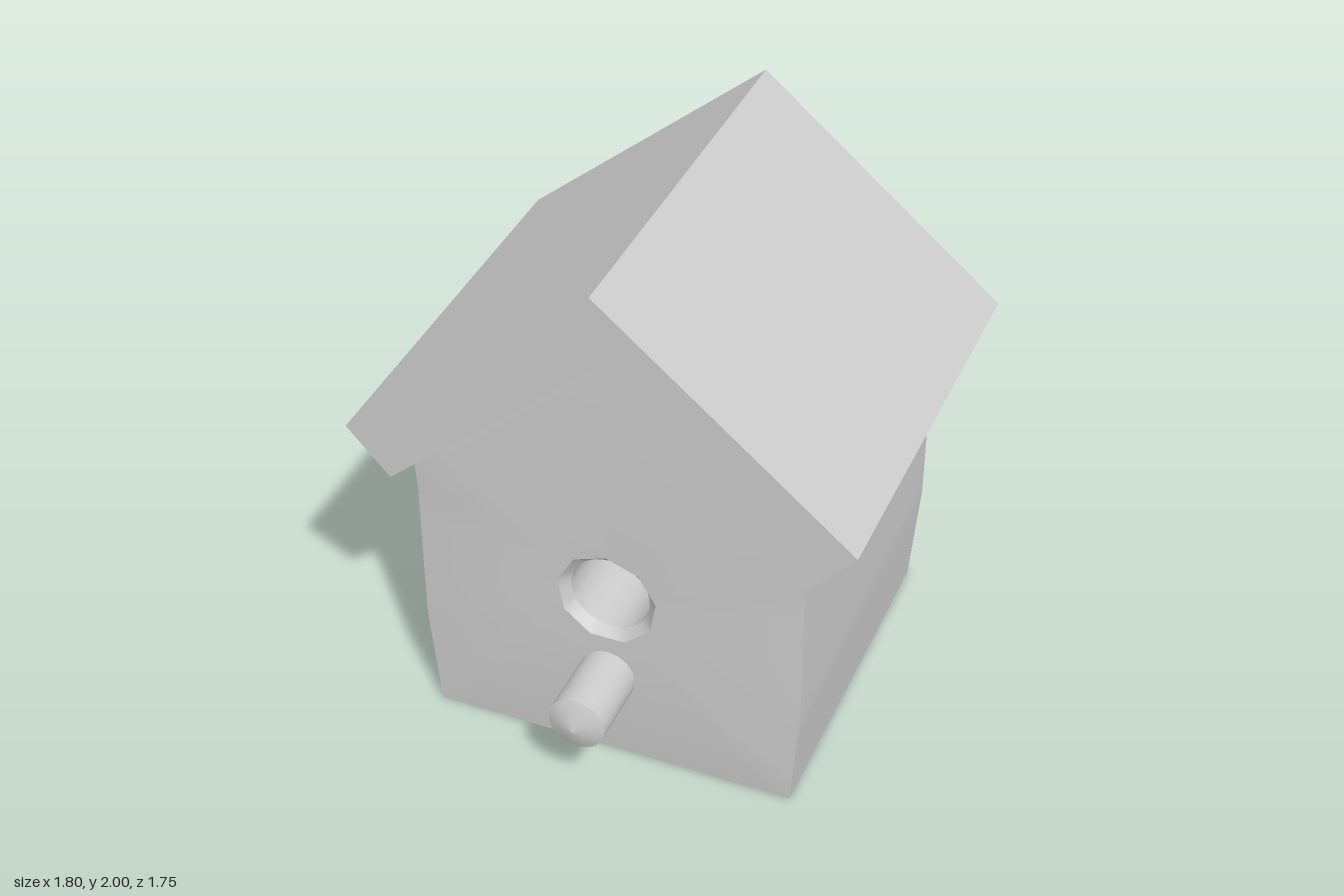
import * as THREE from 'three';
import { toCreasedNormals } from 'three/addons/utils/BufferGeometryUtils.js';

const HOLE_Y = 0.715;
const RAD = Math.PI / 180;

// House outline, counter-clockwise seen from the front
const outline = [
  [-0.67, 0.005], [0.67, 0.005], [0.7, 0.4], [0.7, 1.12],
  [0, 1.73], [-0.7, 1.12], [-0.7, 0.4],
];

// Distance from the hole centre to the outline along a direction
function outlineRadius(a) {
  let best = Infinity;
  outline.forEach(([x, y], i) => {
    const [x2, y2] = outline[(i + 1) % outline.length];
    const nx = y2 - y, ny = x - x2;
    const facing = nx * Math.cos(a) + ny * Math.sin(a);
    if (facing > 1e-6) best = Math.min(best, (nx * x + ny * (y - HOLE_Y)) / facing);
  });
  return best;
}

// Nine-sided chipped rim with a corner at the top
function rimRadius(a) {
  const step = 40 * RAD;
  const t = (((a - Math.PI / 2) % step) + step) % step;
  return 0.183 * Math.cos(step / 2) / Math.cos(t - step / 2);
}

// Body: loops running from the hole floor, over the front and sides, to the back
function bodyGeometry() {
  const angles = outline.map(([x, y]) => Math.atan2(y - HOLE_Y, x));
  for (let d = -180; d < 180; d += 10) {
    if (angles.every((a) => Math.abs(a - d * RAD) > 0.005)) angles.push(d * RAD);
  }
  angles.sort((a, b) => a - b);

  const low = (y) => Math.max(0, 1 - y / 0.5);
  const loops = [
    [() => 0.0001, () => 0.2],
    [() => 0.145, () => 0.25],
    [() => 0.145, () => 0.53],
    [rimRadius, () => 0.565],
    [(a) => outlineRadius(a) * 0.6, (y) => 0.57 - 0.008 * low(y)],
    [outlineRadius, (y) => 0.55 - 0.01 * low(y) + (y > 1 ? 0.015 : 0)],
    [outlineRadius, (y) => -0.78 + 0.015 * low(y) - (y > 1 ? 0.01 : 0)],
    [(a) => outlineRadius(a) * 0.6, (y) => -0.797 + 0.01 * low(y)],
    [() => 0.0001, () => -0.8],
  ];
  const n = angles.length, pos = [], index = [];
  loops.forEach(([radius, depth], k) => {
    angles.forEach((a, i) => {
      const r = radius(a), y = HOLE_Y + r * Math.sin(a);
      pos.push(r * Math.cos(a), y, depth(y));
      if (k === 0) return;
      const j = (i + 1) % n, p = (k - 1) * n, q = k * n;
      index.push(p + i, q + i, q + j, p + i, q + j, p + j);
    });
  });
  const g = new THREE.BufferGeometry();
  g.setAttribute('position', new THREE.Float32BufferAttribute(pos, 3));
  g.setIndex(index);
  return toCreasedNormals(g, 30 * RAD);
}

// Roof: one bent slab
function roofGeometry() {
  const shape = new THREE.Shape([
    [0, 2], [-0.9, 1.25], [-0.745, 1.08], [0, 1.725], [0.745, 1.08], [0.9, 1.25],
  ].map(([x, y]) => new THREE.Vector2(x, y)));
  return new THREE.ExtrudeGeometry(shape, { depth: 1.52, bevelEnabled: false })
    .translate(0, 0, -0.87);
}

// Perch: round peg with a blunt pointed tip
function perchGeometry() {
  const profile = [[0, 0.4], [0.103, 0.4], [0.103, 0.83], [0, 0.875]]
    .map(([r, z]) => new THREE.Vector2(r, z));
  const g = new THREE.LatheGeometry(profile, 32).rotateX(Math.PI / 2);
  return toCreasedNormals(g, 40 * RAD).translate(0, 0.375, 0);
}

export function createModel() {
  const grey = new THREE.MeshStandardMaterial({ color: 0xcccccc });
  grey.name = 'plain grey';
  const model = new THREE.Group();
  model.name = 'birdhouse';
  const parts = { body: bodyGeometry(), roof: roofGeometry(), perch: perchGeometry() };
  for (const [name, geometry] of Object.entries(parts)) {
    const mesh = new THREE.Mesh(geometry, grey);
    mesh.name = name;
    model.add(mesh);
  }
  return model;
}
